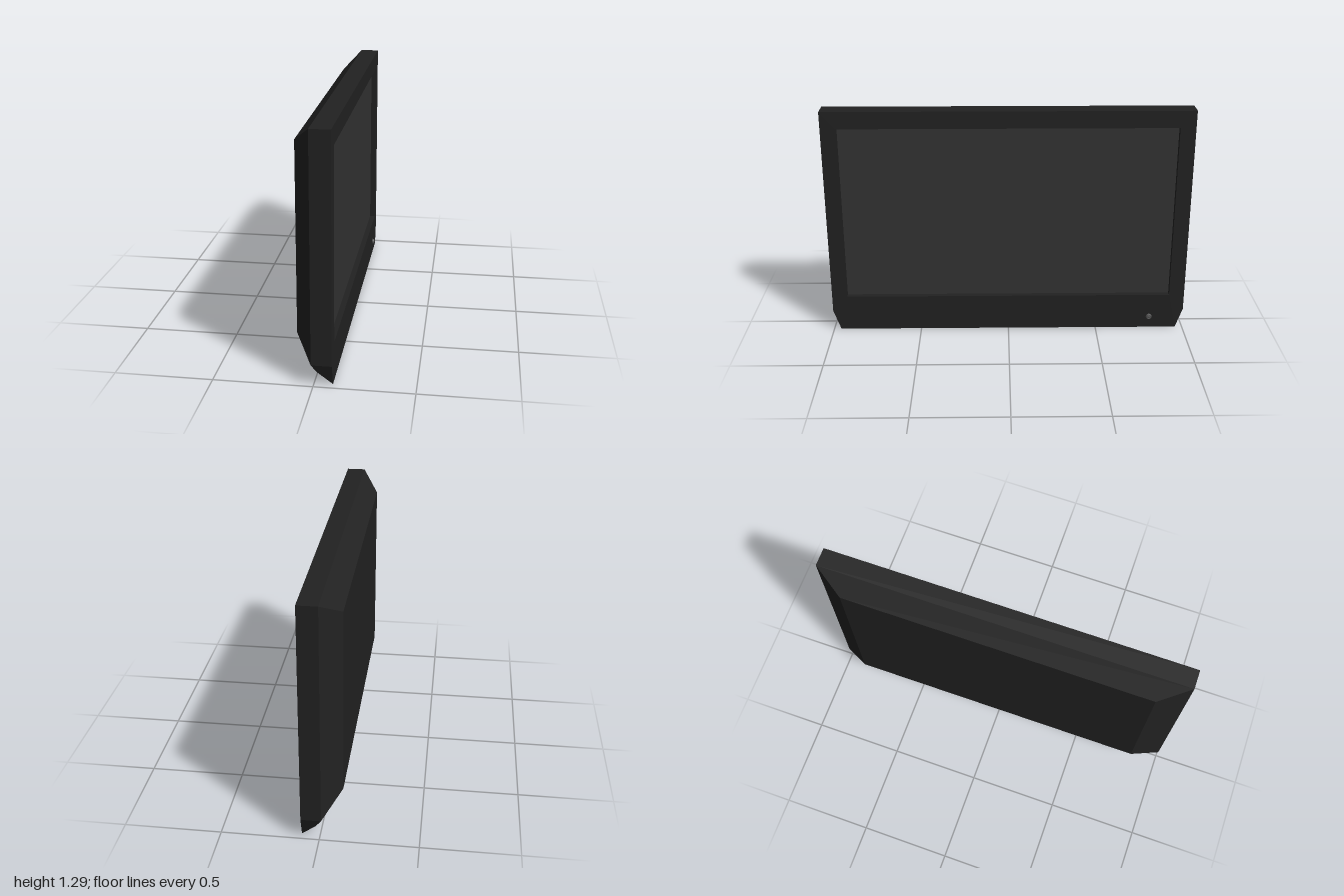
import * as THREE from 'three';

// Flat-shaded geometry from convex polygons, each fanned into triangles
function fromPolygons(polys) {
  const pos = [];
  for (const p of polys)
    for (let i = 1; i < p.length - 1; i++) pos.push(...p[0], ...p[i], ...p[i + 1]);
  const g = new THREE.BufferGeometry();
  g.setAttribute('position', new THREE.Float32BufferAttribute(pos, 3));
  g.computeVertexNormals();
  return g;
}

export function createModel() {
  const model = new THREE.Group();
  model.name = 'television';
  const black = new THREE.MeshStandardMaterial({ color: 0x222222 });
  const glass = new THREE.MeshStandardMaterial({ color: 0x333333 });
  const grey = new THREE.MeshStandardMaterial({ color: 0x555555 });
  const add = (name, geometry, material) => {
    const mesh = new THREE.Mesh(geometry, material);
    mesh.name = name;
    model.add(mesh);
    return mesh;
  };

  const front = 0.093, mid = -0.01, back = -0.103;
  const top = 1.29, shoulder = 0.115;
  const W = 0.915, low = 0.205, high = 1.195, screenX = 0.063; // screen opening

  // Side outline of the cabinet: [x, y, half width], front top round to front bottom
  const outline = [
    [front, top, 1], [mid, top, 1], [back, 1.197, 0.845], [back, 0.21, 0.845],
    [mid, shoulder, 1], [0.02, 0.07, 0.984], [front, 0, 0.96],
  ];
  const [frontTop, midTop, backTop, backLow, midLow, chin, frontLow] = outline;
  const frontSide = [front, shoulder, 1];

  // Cabinet: strips across the width, then both ends
  const shell = [];
  for (let i = 0; i < outline.length - 1; i++) {
    const [ax, ay, aw] = outline[i], [bx, by, bw] = outline[i + 1];
    shell.push([[ax, ay, aw], [ax, ay, -aw], [bx, by, -bw], [bx, by, bw]]);
  }
  const ends = [
    [midLow, frontSide, frontTop, midTop],
    [backLow, midLow, midTop, backTop],
    [midLow, chin, frontLow, frontSide],
  ];
  for (const end of ends) {
    shell.push(end);
    shell.push(end.map(([x, y, z]) => [x, y, -z]).reverse());
  }
  add('cabinet', fromPolygons(shell), black);

  // Front bezel with the screen opening
  const face = new THREE.Shape([
    [-0.96, 0], [0.96, 0], [1, shoulder], [1, top], [-1, top], [-1, shoulder],
  ].map(([x, y]) => new THREE.Vector2(x, y)));
  const rim = [[-W, low], [W, low], [W, high], [-W, high]];
  face.holes.push(new THREE.Path(rim.map(([x, y]) => new THREE.Vector2(x, y))));
  add('bezel', new THREE.ShapeGeometry(face).rotateY(Math.PI / 2).translate(front, 0, 0), black);

  // Walls of the recess
  const walls = rim.map(([u, y], i) => {
    const [v, w] = rim[(i + 1) % 4];
    return [[front, y, -u], [front, w, -v], [screenX, w, -v], [screenX, y, -u]];
  });
  add('screenRecess', fromPolygons(walls), black);

  // Screen panel
  const screen = add('screen', new THREE.PlaneGeometry(2 * W, high - low).rotateY(Math.PI / 2), glass);
  screen.position.set(screenX, (low + high) / 2, 0);

  // Power button: raised rim and shallow cap
  const button = new THREE.Group();
  button.name = 'powerButton';
  button.position.set(front, 0.068, -0.806);
  button.rotation.z = -Math.PI / 2;
  const lathe = (pts) => new THREE.LatheGeometry(pts.map(([r, h]) => new THREE.Vector2(r, h)), 20);
  const ring = new THREE.Mesh(lathe([[0.017, 0], [0.016, 0.006], [0.012, 0.01], [0.009, 0.008]]), grey);
  ring.name = 'buttonRim';
  const cap = new THREE.Mesh(lathe([[0.009, 0.008], [0.005, 0.0095], [0, 0.01]]), grey);
  cap.name = 'buttonCap';
  button.add(ring, cap);
  model.add(button);

  return model;
}
